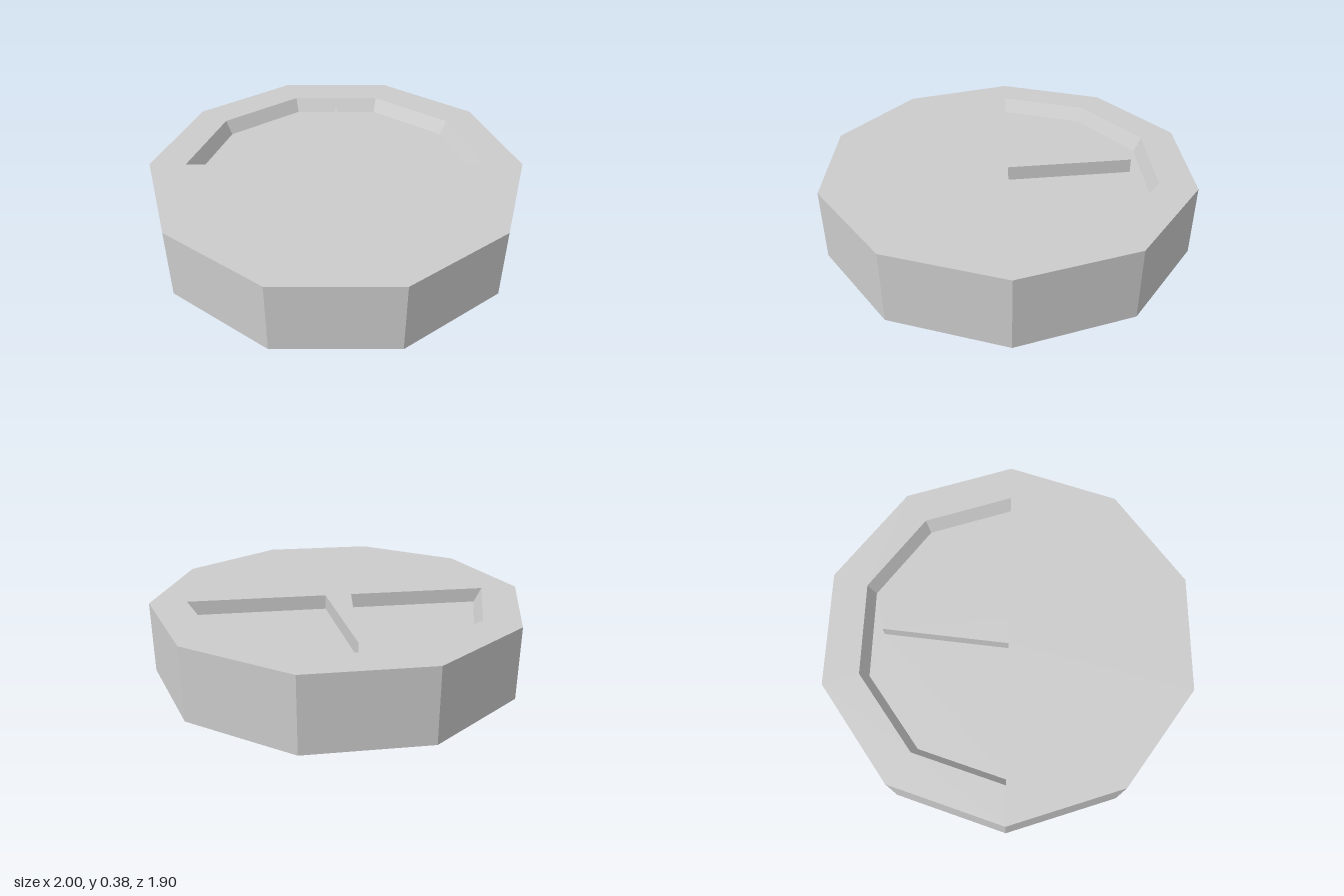
import * as THREE from 'three';

const HEIGHT = 0.385, DEPTH = 0.077, SIDES = 10;
const FLOOR = HEIGHT - DEPTH;

// Points on a decagon in plan (x right, y towards the back)
const arc = (radius, count) => Array.from({ length: count }, (_, i) => {
  const a = (i / SIDES) * Math.PI * 2;
  return new THREE.Vector2(radius * Math.cos(a), radius * Math.sin(a));
});

// Half-decagon outline whose straight edge is broken by the pointer
const recessOutline = (radius) => [
  ...arc(radius, SIDES / 2 + 1),
  new THREE.Vector2(-0.07, 0),
  new THREE.Vector2(0, 0.665),
  new THREE.Vector2(0.07, 0),
];

// Flat horizontal face at height y
function flatFace(shape, y) {
  return new THREE.ShapeGeometry(shape).rotateX(-Math.PI / 2).translate(0, y, 0);
}

// Walls facing into the recess, between its rim and its floor outline
function recessWalls(rim, base) {
  const pos = [];
  const put = (p, y) => pos.push(p.x, y, -p.y);
  rim.forEach((a, i) => {
    const j = (i + 1) % rim.length;
    put(base[j], FLOOR); put(base[i], FLOOR); put(a, HEIGHT);
    put(base[j], FLOOR); put(a, HEIGHT); put(rim[j], HEIGHT);
  });
  const geo = new THREE.BufferGeometry();
  geo.setAttribute('position', new THREE.Float32BufferAttribute(pos, 3));
  geo.computeVertexNormals();
  return geo;
}

export function createModel() {
  const group = new THREE.Group();
  const material = new THREE.MeshStandardMaterial({ color: 0xcccccc, flatShading: true });
  const add = (name, geometry) => {
    const mesh = new THREE.Mesh(geometry, material);
    mesh.name = name;
    group.add(mesh);
  };

  const rim = recessOutline(0.805);
  const base = recessOutline(0.765);

  // Ten-sided disc: outer wall and underside
  add('outerWall', new THREE.CylinderGeometry(1, 1, HEIGHT, SIDES, 1, true, Math.PI / 2)
    .translate(0, HEIGHT / 2, 0));
  add('underside', new THREE.CircleGeometry(1, SIDES).rotateX(Math.PI / 2));

  // Top face, including the flush pointer, cut out around the recess
  const top = new THREE.Shape(arc(1, SIDES));
  top.holes.push(new THREE.Path(rim));
  add('topFaceWithPointer', flatFace(top, HEIGHT));

  // Sunken half-dial with sloping outer walls
  add('recessWalls', recessWalls(rim, base));
  add('recessFloor', flatFace(new THREE.Shape(base), FLOOR));

  return group;
}
